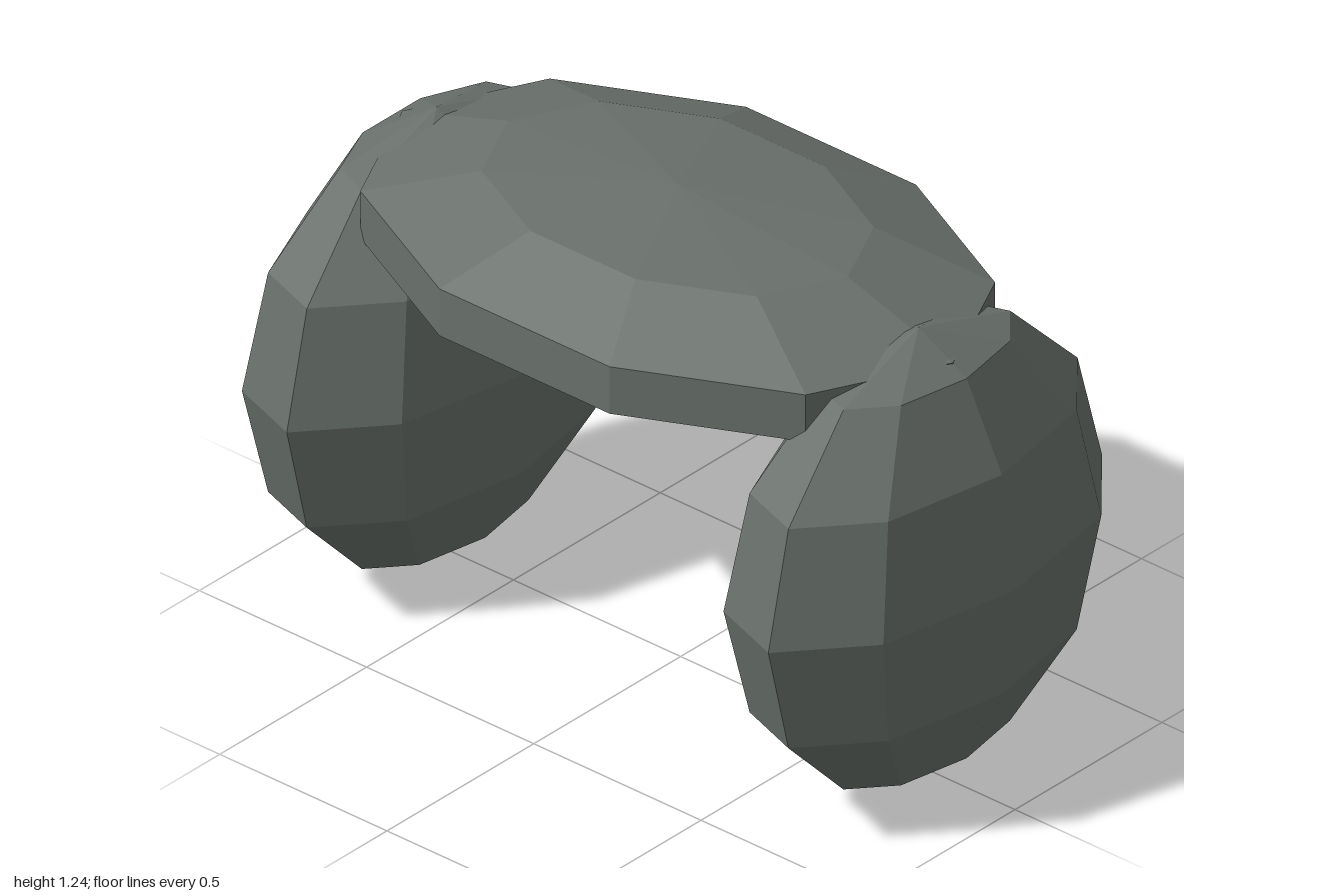
import * as THREE from 'three';

const R = 0.577; // shared base radius
const SHIFT = -0.0087; // the nine-sided pads are asymmetric in x, so recentre

export function createModel() {
  const group = new THREE.Group();
  const material = new THREE.MeshStandardMaterial({ color: 0x69706b, flatShading: true });

  // Faceted ellipsoid, first edge column facing +x
  const addEllipsoid = (name, sides, rings, scale, x, y) => {
    const geometry = new THREE.SphereGeometry(R, sides, rings, Math.PI);
    geometry.scale(...scale);
    const mesh = new THREE.Mesh(geometry, material);
    mesh.name = name;
    mesh.position.set(x + SHIFT, y, 0);
    group.add(mesh);
  };

  // Flattened slab bridging the two side pieces
  addEllipsoid('topSlab', 10, 5, [1.5, 0.2 / R, 1], 0, 1.04);

  // Upright rounded supports, same orientation on both sides
  addEllipsoid('leftSupport', 9, 6, [0.5, 1, 1], 0.72, R);
  addEllipsoid('rightSupport', 9, 6, [0.5, 1, 1], -0.72, R);

  return group;
}
